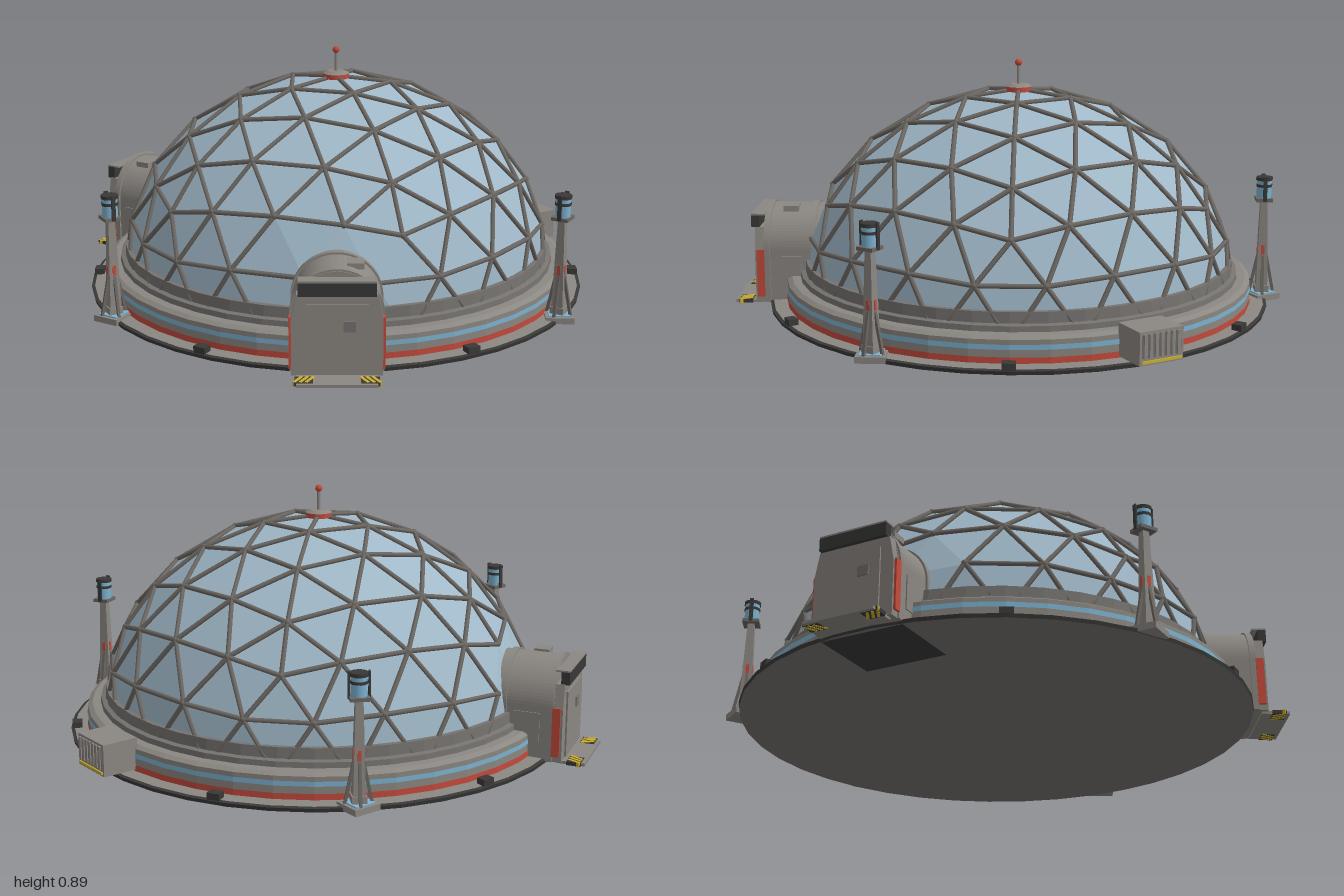
import * as THREE from 'three';
import { mergeGeometries } from 'three/addons/utils/BufferGeometryUtils.js';

const mat = (name, color, extra = {}) => {
  const m = new THREE.MeshStandardMaterial({ color, ...extra });
  m.name = name;
  return m;
};

export function createModel() {
  const hull = mat('hull grey', 0x8b8782);
  const panel = mat('panel grey', 0x767370);
  const frame = mat('strut grey', 0x6c6762);
  const dark = mat('dark trim', 0x3a3938);
  const glass = mat('glass blue', 0xa0b8c8, { flatShading: true });
  const red = mat('signal red', 0xc44a3c);
  const blue = mat('light blue', 0x7db2d0);
  const yellow = mat('hazard yellow', 0xcdb02c);

  const model = new THREE.Group();
  model.name = 'domeHabitat';
  const site = new THREE.Group();
  site.name = 'site';
  site.position.set(0.005, 0, -0.035);
  model.add(site);

  const add = (parent, name, geo, m, x = 0, y = 0, z = 0) => {
    const mesh = new THREE.Mesh(geo, m);
    mesh.name = name;
    mesh.position.set(x, y, z);
    parent.add(mesh);
    return mesh;
  };
  const box = (parent, name, m, w, h, d, x, y, z) =>
    add(parent, name, new THREE.BoxGeometry(w, h, d), m, x, y, z);
  // groups stand around the dome with local +z pointing outward
  const spoke = (name, degrees) => {
    const g = new THREE.Group();
    g.name = name;
    g.rotation.y = THREE.MathUtils.degToRad(degrees);
    site.add(g);
    return g;
  };
  const lathe = (name, m, pts) => {
    const geo = new THREE.LatheGeometry(pts.map(([r, y]) => new THREE.Vector2(r, y)), 40).toNonIndexed();
    geo.computeVertexNormals();
    return add(site, name, geo, m);
  };

  // foundation rings
  lathe('underside', panel, [[0, 0.001], [0.912, 0.001]]);
  lathe('footing', dark, [[0.912, 0.001], [0.915, 0.014], [0.902, 0.017]]);
  lathe('foundation', hull, [[0.903, 0.017], [0.852, 0.019], [0.852, 0.098], [0.835, 0.108], [0.77, 0.11]]);
  lathe('redStripe', red, [[0.854, 0.019], [0.854, 0.04]]);
  lathe('blueStripe', blue, [[0.854, 0.065], [0.854, 0.082]]);
  lathe('curb', panel, [[0.805, 0.105], [0.803, 0.128], [0.786, 0.132], [0.784, 0.17], [0.765, 0.17]]);
  for (let i = 0; i < 6; i++) {
    const g = spoke('clamp', 30 + i * 60);
    box(g, 'clampBlock', dark, 0.045, 0.025, 0.035, 0, 0.026, 0.892);
  }

  // faceted glass dome with a geodesic frame on the same grid, one corner at the crown
  const R = 0.785, H = 0.705, C = 0.07;
  const grid = new THREE.IcosahedronGeometry(1, 3)
    .rotateX(-Math.atan((1 + Math.sqrt(5)) / 2)).rotateY(Math.PI / 2);
  const shell = grid.clone().scale(R, H, R).translate(0, C, 0);
  const keep = [];
  const sp = shell.attributes.position;
  for (let i = 0; i < sp.count; i += 3) {
    if (Math.max(sp.getY(i), sp.getY(i + 1), sp.getY(i + 2)) < 0.1) continue;
    for (let k = i; k < i + 3; k++) keep.push(sp.getX(k), Math.max(sp.getY(k), 0.03), sp.getZ(k));
  }
  const glassGeo = new THREE.BufferGeometry();
  glassGeo.setAttribute('position', new THREE.Float32BufferAttribute(keep, 3));
  glassGeo.computeVertexNormals();
  add(site, 'glassDome', glassGeo, glass);

  const up = new THREE.Vector3(0, 1, 0);
  const airlockAngles = [0, -120];
  const nearAirlock = p => airlockAngles.some(a => {
    const q = p.clone().applyAxisAngle(up, -THREE.MathUtils.degToRad(a));
    return q.z > 0 && Math.abs(q.x) < 0.2 && q.y < 0.395;
  });
  const struts = [], nodes = [], seen = new Set();
  const key = v => v.toArray().map(n => Math.round(n * 500) + 0).join();
  const gp = grid.attributes.position;
  for (let i = 0; i < gp.count; i += 3) {
    const tri = [0, 1, 2].map(k => new THREE.Vector3().fromBufferAttribute(gp, i + k)
      .multiplyScalar(R + 0.005).setY(gp.getY(i + k) * (H + 0.005) + C));
    for (let k = 0; k < 3; k++) {
      let [a, b] = [tri[k].clone(), tri[(k + 1) % 3].clone()];
      if (a.y > b.y) [a, b] = [b, a];
      const mid = a.clone().lerp(b, 0.5);
      if (seen.has(key(mid)) || b.y < 0.13 || nearAirlock(mid)) continue;
      seen.add(key(mid));
      if (a.y < 0.1) a.lerp(b, (0.1 - a.y) / (b.y - a.y));
      const dir = b.clone().sub(a);
      const geo = new THREE.CylinderGeometry(0.0085, 0.0085, dir.length(), 6);
      geo.applyQuaternion(new THREE.Quaternion().setFromUnitVectors(up, dir.normalize()));
      mid.copy(a).lerp(b, 0.5);
      struts.push(geo.translate(mid.x, mid.y, mid.z));
      if (!seen.has('n' + key(b))) {
        seen.add('n' + key(b));
        nodes.push(new THREE.SphereGeometry(0.011, 8, 6).translate(b.x, b.y, b.z));
      }
    }
  }
  add(site, 'geodesicStruts', mergeGeometries(struts), frame);
  add(site, 'strutNodes', mergeGeometries(nodes), frame);

  // beacon on the crown
  add(site, 'crownPlate', new THREE.CylinderGeometry(0.047, 0.047, 0.018, 20), red, 0, 0.782, 0);
  add(site, 'crownCap', new THREE.CylinderGeometry(0.03, 0.048, 0.009, 20), hull, 0, 0.795, 0);
  add(site, 'beaconMast', new THREE.CylinderGeometry(0.006, 0.006, 0.08, 8), hull, 0, 0.835, 0);
  add(site, 'beaconLamp', new THREE.SphereGeometry(0.013, 12, 8), red, 0, 0.877, 0);

  // vaulted airlocks
  const vault = (r, depth) => {
    const s = new THREE.Shape();
    s.moveTo(-r, 0.01).lineTo(r, 0.01).lineTo(r, 0.205);
    s.absarc(0, 0.205, r, 0, Math.PI, false);
    return new THREE.ExtrudeGeometry(s, { depth, bevelEnabled: false, curveSegments: 20 });
  };
  const doorFrame = new THREE.Shape([[-0.147, 0.01], [0.147, 0.01], [0.147, 0.2], [0.13, 0.285], [-0.13, 0.285], [-0.147, 0.2]]
    .map(p => new THREE.Vector2(...p)));
  for (const a of airlockAngles) {
    const g = spoke('airlock', a);
    add(g, 'vault', vault(0.146, 0.225), hull, 0, 0, 0.7);
    for (const z of [0.735, 0.9]) add(g, 'vaultRib', vault(0.153, 0.022), hull, 0, 0, z);
    add(g, 'doorFrame', new THREE.ExtrudeGeometry(doorFrame, { depth: 0.035, bevelEnabled: false }), hull, 0, 0, 0.92);
    box(g, 'door', hull, 0.2, 0.235, 0.008, 0, 0.135, 0.957);
    box(g, 'doorWindow', panel, 0.04, 0.035, 0.006, 0.04, 0.18, 0.962);
    box(g, 'lintel', dark, 0.25, 0.045, 0.03, 0, 0.306, 0.955);
    box(g, 'lintelHood', hull, 0.25, 0.006, 0.05, 0, 0.331, 0.945);
    box(g, 'roofHatch', hull, 0.055, 0.02, 0.055, 0.06, 0.345, 0.83);
    for (const s of [-1, 1]) {
      box(g, 'sideStripe', red, 0.008, 0.175, 0.028, s * 0.151, 0.118, 0.934);
      box(g, 'sidePanel', hull, 0.006, 0.12, 0.09, s * 0.147, 0.12, 0.83);
    }
    // ramp with hazard corners
    box(g, 'ramp', hull, 0.26, 0.01, 0.1, 0, 0.007, 0.984);
    for (const s of [-1, 1]) {
      box(g, 'hazardPad', dark, 0.06, 0.013, 0.05, s * 0.106, 0.0075, 0.996);
      for (let i = 0; i < 3; i++) {
        const bar = box(g, 'hazardBar', yellow, 0.01, 0.016, 0.05, s * (0.087 + i * 0.019), 0.008, 0.996);
        bar.rotation.y = s * 0.5;
      }
    }
  }
  // service hatch under the rear airlock
  box(spoke('underHatch', -120), 'hatchPlate', dark, 0.3, 0.002, 0.27, 0, 0.001, 0.76);

  // floodlight towers
  for (const a of [60, 180, -60]) {
    const g = spoke('lightTower', a);
    const t = new THREE.Group();
    t.name = 'tower';
    t.position.z = 0.9;
    g.add(t);
    const foot = new THREE.Group();
    foot.name = 'foot';
    foot.rotation.y = 0.5;
    t.add(foot);
    box(foot, 'footPlate', hull, 0.1, 0.022, 0.1, 0, 0.016, 0);
    box(foot, 'footInlay', blue, 0.076, 0.004, 0.076, 0, 0.029, 0);
    box(t, 'footBlock', hull, 0.05, 0.03, 0.05, 0, 0.04, 0);
    const post = add(t, 'post', new THREE.CylinderGeometry(0.017, 0.03, 0.34, 4, 1).toNonIndexed(), hull, 0, 0.21, 0);
    post.geometry.computeVertexNormals();
    post.rotation.y = Math.PI / 4;
    for (let i = 0; i < 4; i++) {
      const side = new THREE.Group();
      side.name = 'towerSide';
      side.rotation.y = i * Math.PI / 2;
      t.add(side);
      box(side, 'braceBar', frame, 0.01, 0.15, 0.01, 0, 0.095, 0.03).rotation.x = -0.2;
      box(side, 'towerStripe', red, 0.012, 0.035, 0.005, 0, 0.19, 0.0165);
    }
    box(t, 'headShelf', frame, 0.065, 0.012, 0.06, 0, 0.378, 0);
    add(t, 'lamp', new THREE.CylinderGeometry(0.027, 0.027, 0.068, 12), blue, 0, 0.417, 0);
    add(t, 'lampBand', new THREE.CylinderGeometry(0.029, 0.029, 0.01, 12), dark, 0, 0.43, 0);
    add(t, 'headCap', new THREE.CylinderGeometry(0.03, 0.03, 0.012, 12), dark, 0, 0.455, 0);
    for (const s of [-1, 1]) box(t, 'headBracket', dark, 0.006, 0.09, 0.014, s * 0.033, 0.42, 0);
  }

  // ventilation unit with louvres
  const vent = spoke('ventUnit', 120);
  box(vent, 'ventBox', hull, 0.165, 0.112, 0.13, 0, 0.08, 0.905);
  box(vent, 'ventGrille', frame, 0.145, 0.078, 0.004, 0, 0.088, 0.971);
  for (let i = 0; i < 7; i++) box(vent, 'louvre', hull, 0.012, 0.08, 0.008, -0.063 + i * 0.021, 0.088, 0.973);
  box(vent, 'ventStripe', yellow, 0.15, 0.009, 0.006, 0, 0.035, 0.972);

  return model;
}
